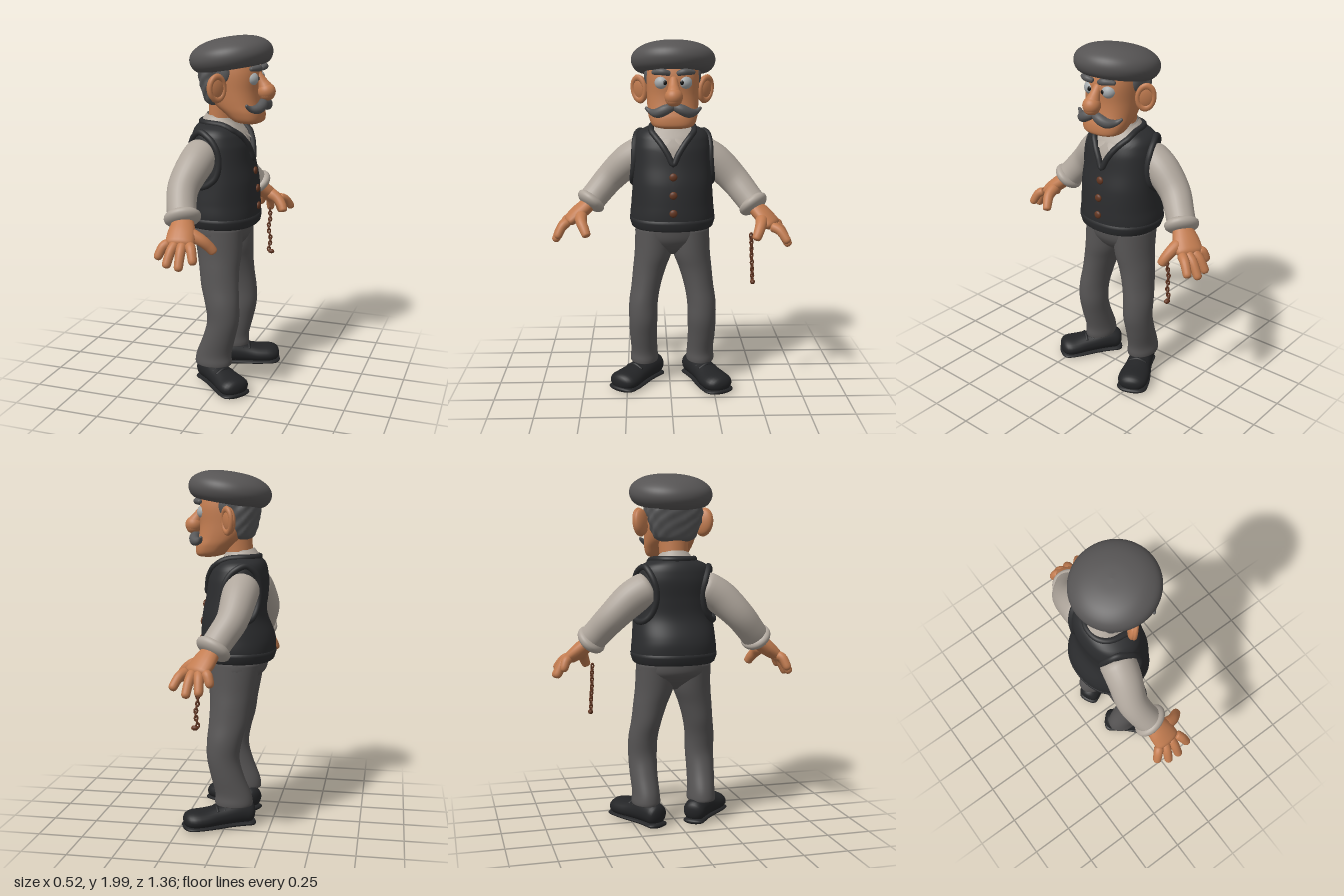
import * as THREE from 'three';

const mat = (name, color) => Object.assign(new THREE.MeshStandardMaterial({ color }), { name });
const CZ = -0.015; // the figure's middle line

// Catmull-Rom interpolation of rows of numbers, t in row units
function mix(rows, t) {
  const n = rows.length - 1, i = Math.min(Math.floor(t), n - 1), s = t - i;
  const [a, b, c, d] = [-1, 0, 1, 2].map(k => rows[Math.max(0, Math.min(n, i + k))]);
  return b.map((_, k) => b[k] + 0.5 * s * (c[k] - a[k] + s * (2 * a[k] - 5 * b[k] + 4 * c[k] - d[k] + s * (3 * (b[k] - c[k]) + d[k] - a[k]))));
}

// Grid surface from f(angle, v), wrapped around unless an open range is given
function surf(f, nu, nv, from = 0, to = Math.PI * 2, open = false) {
  const pos = [], idx = [], cols = open ? nu + 1 : nu;
  for (let j = 0; j <= nv; j++)
    for (let i = 0; i < cols; i++) pos.push(...f(from + (to - from) * i / nu, j / nv));
  for (let j = 0; j < nv; j++)
    for (let i = 0; i < nu; i++) {
      const a = j * cols + i, b = j * cols + (i + 1) % cols;
      idx.push(a, a + cols, b, b, a + cols, b + cols);
    }
  const g = new THREE.BufferGeometry();
  g.setAttribute('position', new THREE.Float32BufferAttribute(pos, 3));
  g.setIndex(idx);
  g.computeVertexNormals();
  return g;
}

// Upright body from rows [y, cx, cz, rx, rz], closed at both ends
function loft(rows, p = 1, ripple = 0, nv = 40) {
  const pw = c => Math.sign(c) * Math.abs(c) ** p;
  return surf((a, v) => {
    const end = v === 0 || v === 1 ? 0 : 1;
    const t = Math.max(0, Math.min(1, (v * nv - 1) / (nv - 2)));
    const [y, cx, cz, rx, rz] = mix(rows, t * (rows.length - 1));
    const k = end * (1 + ripple * Math.sin(9 * a + 25 * y) * Math.sin(70 * y));
    return [cx + rx * k * pw(Math.cos(a)), y, cz + rz * k * pw(Math.sin(a))];
  }, 40, nv);
}

// Round-ended limb along rows [x, y, z, r1, r2]; r1 lies towards ref
function limb(rows, ref = [0, 1, 0], cap = 1, floor = -9, nu = 20, nv = 28) {
  rows = rows.map(r => r.length === 5 ? r : [...r, r[3]]);
  const n = rows.length - 1, R = new THREE.Vector3(...ref);
  const P = t => new THREE.Vector3(...mix(rows, t).slice(0, 3));
  let L = 0;
  for (let i = 0; i < n; i++) L += P(i).distanceTo(P(i + 1));
  return surf((a, v) => {
    const u = (1 - Math.cos(Math.PI * v)) / 2, t = u * n;
    const [, , , r1, r2] = mix(rows, t);
    const T = P(Math.min(n, t + 0.02)).sub(P(Math.max(0, t - 0.02))).normalize();
    const N = R.clone().addScaledVector(T, -T.dot(R)).normalize();
    const B = N.clone().cross(T);
    const e = Math.min(0.5, cap * Math.max(r1, r2) / L), s = Math.min(1, Math.min(u, 1 - u) / e);
    const m = Math.sqrt(Math.max(0, 1 - (1 - s) ** 2));
    const q = P(t).addScaledVector(N, r1 * m * Math.cos(a)).addScaledVector(B, r2 * m * Math.sin(a));
    return [q.x, Math.max(floor, q.y), q.z];
  }, nu, nv);
}

// Vest cross-sections: [y, cx, rx, rz]
const TORSO = [
  [0.94, -0.04, 0.2, 0.226], [1.0, -0.043, 0.21, 0.24], [1.08, -0.042, 0.207, 0.234],
  [1.2, -0.024, 0.18, 0.225], [1.3, -0.033, 0.168, 0.22], [1.4, -0.045, 0.165, 0.215],
  [1.46, -0.053, 0.15, 0.203], [1.49, -0.06, 0.132, 0.182], [1.508, -0.06, 0.118, 0.145],
  [1.522, -0.055, 0.102, 0.105], [1.56, -0.05, 0.085, 0.085]];
function torso(y, a, off = 0) {
  let i = 0;
  while (i < TORSO.length - 2 && y > TORSO[i + 1][0]) i++;
  const s = (y - TORSO[i][0]) / (TORSO[i + 1][0] - TORSO[i][0]);
  const [, cx, rx, rz] = mix(TORSO, i + s);
  const pw = c => Math.sign(c) * Math.abs(c) ** 0.9;
  return [cx + (rx + off) * pw(Math.cos(a)), y, CZ + (rz + off) * pw(Math.sin(a))];
}
const neckline = a => 1.32 + 0.202 * (1 - Math.exp(-Math.min(a, Math.PI * 2 - a) / 0.35));

export function createModel() {
  const skin = mat('skin', 0xc27c50), shirt = mat('shirt', 0xb0a79d), vest = mat('vest', 0x2b2c2e);
  const trousers = mat('trousers', 0x575555), capCloth = mat('cap cloth', 0x565454), hairMat = mat('grey hair', 0x585859);
  const eyeWhite = mat('eye white', 0xa6abad), black = mat('pupil', 0x121212), leather = mat('shoe leather', 0x232426);
  const brown = mat('brown metal', 0x643722);
  shirt.side = vest.side = THREE.DoubleSide;
  const model = new THREE.Group();
  const add = (name, geo, m, parent = model) => {
    const mesh = new THREE.Mesh(geo, m);
    mesh.name = name;
    parent.add(mesh);
    return mesh;
  };
  const ball = (name, m, p, s, parent) => {
    const b = add(name, new THREE.SphereGeometry(1, 28, 20), m, parent);
    b.position.set(...p);
    b.scale.set(...s);
  };
  const tube = (pts, r) => new THREE.TubeGeometry(new THREE.CatmullRomCurve3(pts.map(p => new THREE.Vector3(...p)), true), 120, r, 10, true);
  const around = (n, f) => Array.from({ length: n }, (_, i) => f(Math.PI * 2 * i / n));

  // Vest with V neckline, trims, hem and buttons
  add('vest', surf((a, v) => torso(0.955 + (neckline(a) - 0.955) * v, a), 72, 48), vest);
  add('necklineTrim', tube(around(60, a => torso(neckline(a), a, 0.003)), 0.017), vest);
  add('vestHem', surf((a, v) => {
    const [y, off] = [[0.96, -0.05], [0.942, -0.004], [0.95, 0.004], [0.985, 0.006], [1.0, 0.004], [1.006, -0.006]][Math.round(v * 5)];
    return torso(y, a, off);
  }, 60, 5), vest);
  for (const s of [1, -1])
    add('armholeTrim', tube(around(28, a => torso(1.33 + 0.15 * Math.sin(a),
      s * (Math.PI / 2 + 0.38 - 0.05 * Math.sin(a) + 0.6 * Math.cos(a)), 0.002)), 0.018), vest);
  for (const y of [1.25, 1.15, 1.05]) {
    const [x] = torso(y, 0);
    ball('button', brown, [x + 0.003, y, CZ], [0.012, 0.022, 0.022]);
  }

  // Shirt front and collar with pointed tips
  add('shirtFront', surf((a, v) => torso(1.22 + 0.34 * v, a, -0.009), 48, 24), shirt);
  add('collar', surf((a, v) => {
    const d = Math.min(a, Math.PI * 2 - a) / 0.3, point = d * Math.exp(1 - d), w = 1 - v;
    const r = 0.087 + w * (0.024 + 0.056 * point);
    return [-0.045 + r * Math.cos(a), 1.54 - 0.03 * Math.cos(a) - w * (0.032 + 0.055 * point), CZ + r * Math.sin(a)];
  }, 60, 6, 0.08, Math.PI * 2 - 0.08, true), shirt);

  // Trousers
  add('hips', loft([[0.785, -0.024, CZ, 0.05, 0.04], [0.81, -0.026, CZ, 0.088, 0.1], [0.85, -0.034, CZ, 0.13, 0.185],
    [0.9, -0.044, CZ, 0.162, 0.213], [1.0, -0.04, CZ, 0.17, 0.205]]), trousers);
  for (const s of [1, -1]) {
    const rows = [[0.13, -0.045, 0.165, 0.106, 0.08], [0.15, -0.045, 0.165, 0.108, 0.081], [0.2, -0.04, 0.165, 0.102, 0.077],
      [0.3, -0.008, 0.17, 0.094, 0.079], [0.4, 0.015, 0.17, 0.092, 0.082], [0.5, 0.008, 0.168, 0.099, 0.083],
      [0.6, -0.01, 0.152, 0.109, 0.085], [0.7, -0.02, 0.132, 0.116, 0.095], [0.8, -0.027, 0.109, 0.13, 0.108], [0.95, -0.04, 0.1, 0.145, 0.112]];
    add('trouserLeg', loft(rows.map(([y, x, z, rx, rz]) => [y, x, CZ + s * z, rx, rz])), trousers);
  }

  // Shoes, toes turned outward
  for (const [s, angle, len] of [[1, 0.66, 0.255], [-1, 0.43, 0.288]]) {
    const shoe = new THREE.Group();
    shoe.name = 'shoe';
    shoe.position.set(-0.04, 0, CZ + s * 0.16);
    shoe.rotation.y = -s * angle;
    add('shoeUpper', limb([[-0.125, 0.07, 0, 0.06, 0.064], [-0.03, 0.08, 0, 0.068, 0.068], [0.08, 0.068, 0, 0.06, 0.074],
      [0.17, 0.058, 0, 0.054, 0.088], [len, 0.056, 0, 0.055, 0.088]], [0, 1, 0], 0.8, 0.012, 28), leather, shoe);
    add('sole', limb([[-0.13, 0.018, 0, 0.018, 0.066], [0.0, 0.018, 0, 0.018, 0.064], [0.16, 0.018, 0, 0.018, 0.088],
      [len + 0.005, 0.018, 0, 0.018, 0.088]], [0, 1, 0], 0.8, 0, 28), leather, shoe);
    for (const x of [0.06, 0.1])
      add('lace', limb([[x, 0.1, -0.055, 0.01], [x, 0.135 - x * 0.12, 0, 0.011], [x, 0.1, 0.055, 0.01]], [1, 0, 0]), leather, shoe);
    model.add(shoe);
  }

  // Arm: sleeve, cuff following its end, palm, four fingers and thumb
  const addArm = (sleeve, palm, side, tips, thumb) => {
    add('sleeve', limb(sleeve, [1, 0, 0], 0.5, -9, 28), shirt);
    const [elbow, wrist] = sleeve.slice(-2);
    const cuff = [[-0.6, 0.096, 0.086], [-0.2, 0.1, 0.088], [0.25, 0.095, 0.082]].map(([k, r1, r2]) =>
      [...[0, 1, 2].map(c => wrist[c] + k * (wrist[c] - elbow[c])), r1, r2]);
    add('cuff', limb(cuff, [1, 0, 0], 0.35, -9, 28), shirt);
    add('palm', limb(palm, [0, 1, 0], 0.5), skin);
    add('thumb', limb(thumb), skin);
    tips.forEach((tip, i) => {
      const base = [0, 1, 2].map(c => palm[2][c] * 0.8 + palm[1][c] * 0.2 + side[c] * (i - 1.5));
      const mid = base.map((b, c) => (b + tip[c]) / 2 + (c === 1 ? 0.022 : 0));
      add('finger', limb([[...base, 0.028], [...mid, 0.026], [...tip, 0.023]]), skin);
    });
  };
  addArm(
    [[-0.1, 1.37, 0.12, 0.1], [-0.12, 1.31, 0.23, 0.097], [-0.145, 1.21, 0.335, 0.086], [-0.128, 1.125, 0.41, 0.08], [-0.1, 1.06, 0.465, 0.078]],
    [[-0.1, 1.07, 0.45, 0.042, 0.05], [-0.083, 1.01, 0.525, 0.044, 0.074], [-0.073, 0.955, 0.595, 0.032, 0.077]],
    [0.038, 0, 0], [[-0.182, 0.885, 0.63], [-0.12, 0.855, 0.663], [-0.05, 0.845, 0.665], [0.025, 0.88, 0.645]],
    [[-0.06, 1.01, 0.51, 0.04], [0.015, 0.975, 0.505, 0.032], [0.055, 0.935, 0.485, 0.028], [0.078, 0.9, 0.47, 0.024]]);
  addArm(
    [[-0.09, 1.37, -0.15, 0.1], [-0.085, 1.31, -0.26, 0.097], [-0.068, 1.21, -0.365, 0.086], [-0.02, 1.125, -0.435, 0.08], [0.02, 1.06, -0.485, 0.078]],
    [[0.015, 1.07, -0.475, 0.042, 0.05], [0.052, 1.01, -0.535, 0.044, 0.074], [0.088, 0.955, -0.595, 0.032, 0.077]],
    [0.034, 0, 0.012], [[-0.005, 0.9, -0.637], [0.05, 0.86, -0.67], [0.12, 0.85, -0.672], [0.195, 0.885, -0.655]],
    [[0.075, 1.01, -0.52, 0.04], [0.14, 0.975, -0.505, 0.032], [0.175, 0.935, -0.487, 0.028], [0.19, 0.9, -0.472, 0.024]]);

  // Hanging watch chain
  for (let i = 0; i < 14; i++) {
    const link = add('chainLink', new THREE.TorusGeometry(0.0085, 0.005, 6, 12), brown);
    link.position.set(0.105 + 0.006 * Math.sin(i * 0.8), 0.91 - i * 0.0195, -0.455 - i * 0.0009);
    link.scale.y = 1.4;
    link.rotation.y = i % 2 ? 0.4 : 1.9;
  }
  ball('chainFob', brown, [0.115, 0.642, -0.467], [0.02, 0.014, 0.014]);

  // Head, neck and hair
  add('neck', loft([[1.45, -0.05, CZ, 0.08, 0.08], [1.55, -0.045, CZ, 0.078, 0.08], [1.68, -0.03, CZ, 0.085, 0.09]]), skin);
  add('head', loft([[1.52, 0.125, CZ, 0.045, 0.07], [1.535, 0.112, CZ, 0.08, 0.113], [1.58, 0.085, CZ, 0.108, 0.133],
    [1.63, 0.048, CZ, 0.13, 0.14], [1.7, 0.022, CZ, 0.148, 0.143], [1.8, 0.012, CZ, 0.16, 0.144], [1.9, 0, CZ, 0.14, 0.13]], 0.8), skin);
  add('backHair', loft([[1.615, -0.07, CZ, 0.035, 0.07], [1.64, -0.07, CZ, 0.062, 0.115], [1.72, -0.073, CZ, 0.082, 0.147],
    [1.8, -0.068, CZ, 0.1, 0.156], [1.87, -0.06, CZ, 0.1, 0.15]], 0.85, 0.04), hairMat);
  add('nose', limb([[0.15, 1.8, CZ, 0.02], [0.185, 1.745, CZ, 0.03], [0.208, 1.7, CZ, 0.045], [0.212, 1.645, CZ, 0.045]], [1, 0, 0]), skin);
  ball('noseTip', skin, [0.21, 1.695, CZ], [0.05, 0.048, 0.049]);
  for (const s of [1, -1]) {
    const z = d => CZ + s * d;
    ball('eye', eyeWhite, [0.138, 1.767, z(0.06)], [0.042, 0.04, 0.042]);
    ball('pupil', black, [0.176, 1.768, z(0.046)], [0.006, 0.012, 0.011]);
    add('eyebrow', limb([[0.172, 1.815, z(0.018), 0.013], [0.182, 1.826, z(0.06), 0.018], [0.15, 1.822, z(0.115), 0.012]]), hairMat);
    add('moustache', limb([[0.185, 1.645, z(-0.006), 0.018], [0.2, 1.628, z(0.04), 0.028], [0.187, 1.608, z(0.085), 0.027],
      [0.155, 1.612, z(0.122), 0.016], [0.14, 1.635, z(0.152), 0.007]]), hairMat);
    ball('sideburn', hairMat, [0.005, 1.8, z(0.138)], [0.04, 0.055, 0.02]);
    const ear = new THREE.Group();
    ear.name = 'ear';
    ear.position.set(-0.02, 1.724, z(0.178));
    ear.rotation.set(s * 0.12, -s * 0.7, 0);
    ball('earShell', skin, [0, 0, 0], [0.026, 0.074, 0.056], ear);
    const rim = add('earRim', new THREE.TorusGeometry(0.046, 0.014, 10, 28), skin, ear);
    rim.rotation.y = Math.PI / 2;
    rim.scale.set(0.95, 1.35, 1);
    rim.position.x = 0.012;
    model.add(ear);
  }

  // Flat cap tilted back
  const profile = [[0, -0.065], [0.13, -0.075], [0.17, -0.086], [0.2, -0.078], [0.222, -0.055], [0.233, -0.022],
    [0.225, 0.014], [0.198, 0.043], [0.15, 0.068], [0.08, 0.083], [0, 0.087]];
  const spline = new THREE.SplineCurve(profile.map(p => new THREE.Vector2(...p))).getPoints(40);
  spline.forEach(p => { p.x = Math.max(0, p.x); });
  const cap = add('flatCap', new THREE.LatheGeometry(spline, 56), capCloth);
  cap.position.set(0.002, 1.9, CZ - 0.003);
  cap.rotation.z = 0.16;
  return model;
}
